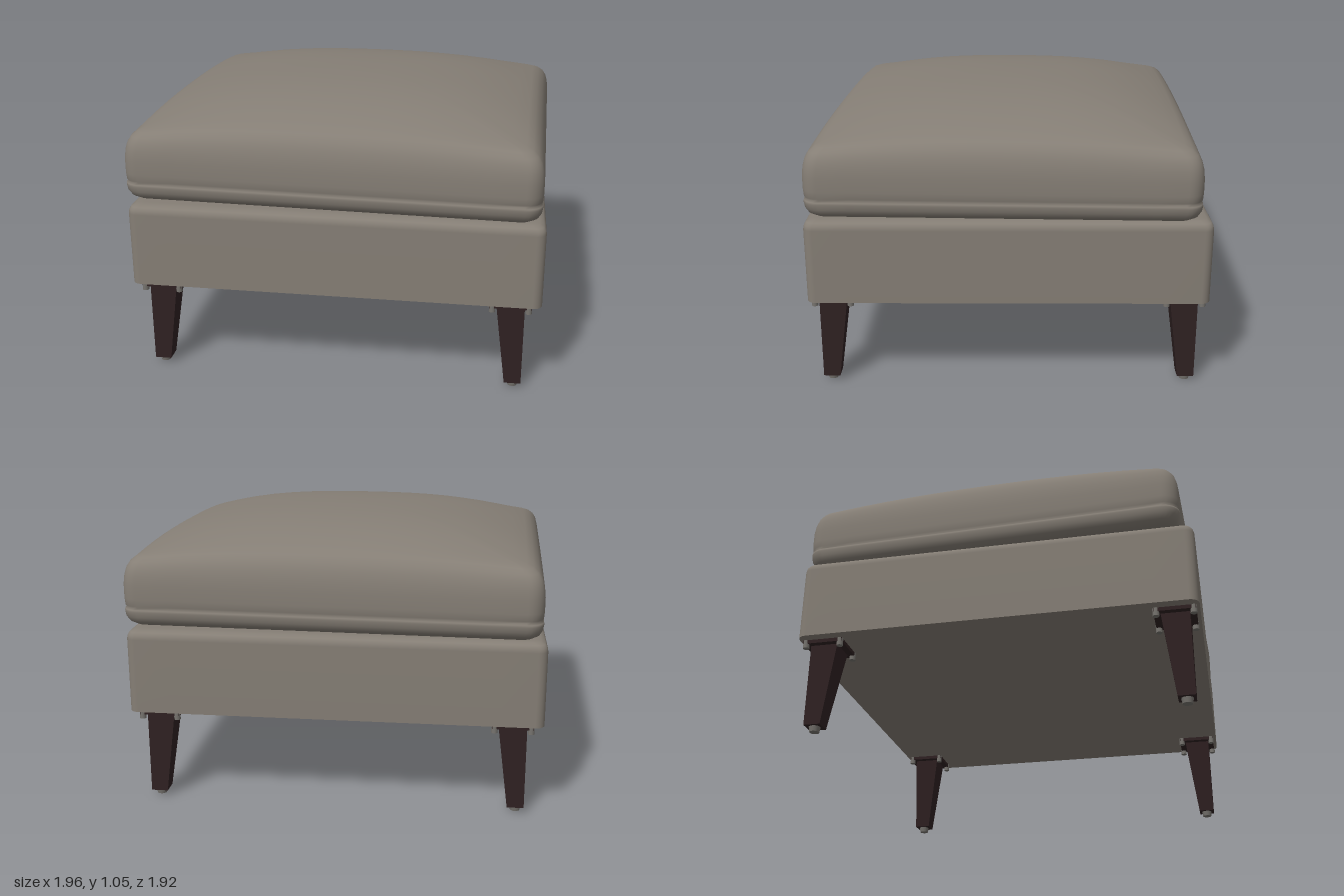
import * as THREE from 'three';

// Rounded rectangle outline, evenly divided along its straight sides
function outline(w, d, r, cornerSteps = 6, sideSteps = 12) {
  const pts = [];
  const corners = [[1, 1], [-1, 1], [-1, -1], [1, -1]];
  const arcPoint = (q, t) => {
    const a = (q + t) * Math.PI / 2;
    return [corners[q][0] * (w - r) + r * Math.cos(a), corners[q][1] * (d - r) + r * Math.sin(a)];
  };
  for (let q = 0; q < 4; q++) {
    for (let i = 0; i <= cornerSteps; i++) pts.push(arcPoint(q, i / cornerSteps));
    const from = arcPoint(q, 1), to = arcPoint((q + 1) % 4, 0);
    for (let i = 1; i < sideSteps; i++) {
      const t = i / sideSteps;
      pts.push([from[0] + (to[0] - from[0]) * t, from[1] + (to[1] - from[1]) * t]);
    }
  }
  return pts;
}

// Upholstered block from stacked outlines; each layer is [inset, y, scale, crown weight]
function upholstery(w, d, r, layers, crown = () => 0) {
  const pos = [], index = [];
  let n = 0;
  layers.forEach(([inset, y, scale = 1, k = 0], i) => {
    const ring = outline(w - inset, d - inset, Math.max(r - inset * 0.4, 0.01));
    n = ring.length;
    ring.forEach(([px, pz], j) => {
      const x = px * scale, z = pz * scale;
      pos.push(x, y + k * crown(x / w, z / d), z);
      if (i === layers.length - 1) return;
      const a = i * n + j, b = i * n + (j + 1) % n;
      index.push(a, a + n, b, b, a + n, b + n);
    });
  });
  const g = new THREE.BufferGeometry();
  g.setAttribute('position', new THREE.Float32BufferAttribute(pos, 3));
  g.setIndex(index);
  g.computeVertexNormals();
  return g;
}

// Square leg, tapering towards its outer corner
function legGeometry(sx, sz) {
  const top = 0.105, bottom = 0.062, shift = (top - bottom) / 2;
  const g = new THREE.BoxGeometry(top, 0.33, top);
  const p = g.attributes.position;
  for (let i = 0; i < p.count; i++) {
    if (p.getY(i) > 0) continue;
    p.setX(i, p.getX(i) * bottom / top + sx * shift);
    p.setZ(i, p.getZ(i) * bottom / top + sz * shift);
  }
  g.computeVertexNormals();
  return g;
}

export function createModel() {
  const model = new THREE.Group();
  const material = (name, color) => {
    const m = new THREE.MeshStandardMaterial({ color });
    m.name = name;
    return m;
  };
  const fabric = material('taupe upholstery', 0x857e75);
  const wood = material('dark wood', 0x2f2122);
  const metal = material('grey metal', 0x77746f);

  const add = (parent, name, geometry, mat, x = 0, y = 0, z = 0) => {
    const mesh = new THREE.Mesh(geometry, mat);
    mesh.name = name;
    mesh.position.set(x, y, z);
    parent.add(mesh);
    return mesh;
  };

  // Base and legs stand at an angle
  const frame = new THREE.Group();
  frame.name = 'frame';
  frame.rotation.y = -THREE.MathUtils.degToRad(22);
  model.add(frame);

  // Repeated layers keep the lower edge sharp
  add(frame, 'base', upholstery(0.768, 0.738, 0.035, [
    [0, 0.35, 0], [0, 0.35], [0, 0.35], [0, 0.63], [0.003, 0.645],
    [0.01, 0.656], [0.025, 0.663], [0.05, 0.665], [0.05, 0.665, 0],
  ]), fabric);

  // Legs with mounting plate, corner bolts and foot glide
  const boltGeometry = new THREE.CylinderGeometry(0.012, 0.012, 0.032, 10);
  const glideGeometry = new THREE.CylinderGeometry(0.022, 0.018, 0.022, 12);
  const plateGeometry = new THREE.BoxGeometry(0.15, 0.015, 0.15);
  for (const sx of [-1, 1]) for (const sz of [-1, 1]) {
    const leg = new THREE.Group();
    leg.name = 'leg';
    leg.position.set(sx * 0.655, 0, sz * 0.65);
    frame.add(leg);
    add(leg, 'legPost', legGeometry(sx, sz), wood, 0, 0.185, 0);
    add(leg, 'mountingPlate', plateGeometry, wood, 0, 0.3435, 0);
    add(leg, 'footGlide', glideGeometry, metal, sx * 0.0215, 0.011, sz * 0.0215);
    for (const bx of [-1, 1]) for (const bz of [-1, 1]) {
      add(leg, 'bolt', boltGeometry, metal, bx * 0.066, 0.336, bz * 0.066);
    }
  }

  // Crowned seat cushion, turned slightly further than the base
  const crown = (a, b) => {
    const dome = (1 - Math.abs(a) ** 3) * (1 - Math.abs(b) ** 3);
    return 0.135 * (0.3 * (1 - (a * a + b * b) / 2) + 0.7 * dome);
  };
  const layers = [
    [0.07, 0.662, 0], [0.07, 0.662], [0.035, 0.668], [0.014, 0.682], [0.003, 0.702],
    [0, 0.722], [0.001, 0.73], [0.007, 0.736], [0.002, 0.744], [0, 0.77],
    [0, 0.82, 1, 0.1], [0.004, 0.855, 1, 0.3], [0.012, 0.882, 1, 0.6],
    [0.025, 0.9, 1, 0.85], [0.045, 0.911, 1, 1], [0.07, 0.915, 1, 1],
  ];
  for (const s of [0.93, 0.84, 0.74, 0.63, 0.5, 0.36, 0.2, 0.08, 0]) layers.push([0.07, 0.915, s, 1]);
  const cushion = add(model, 'seatCushion', upholstery(0.772, 0.716, 0.06, layers, crown), fabric);
  cushion.rotation.y = -THREE.MathUtils.degToRad(23.8);

  return model;
}
